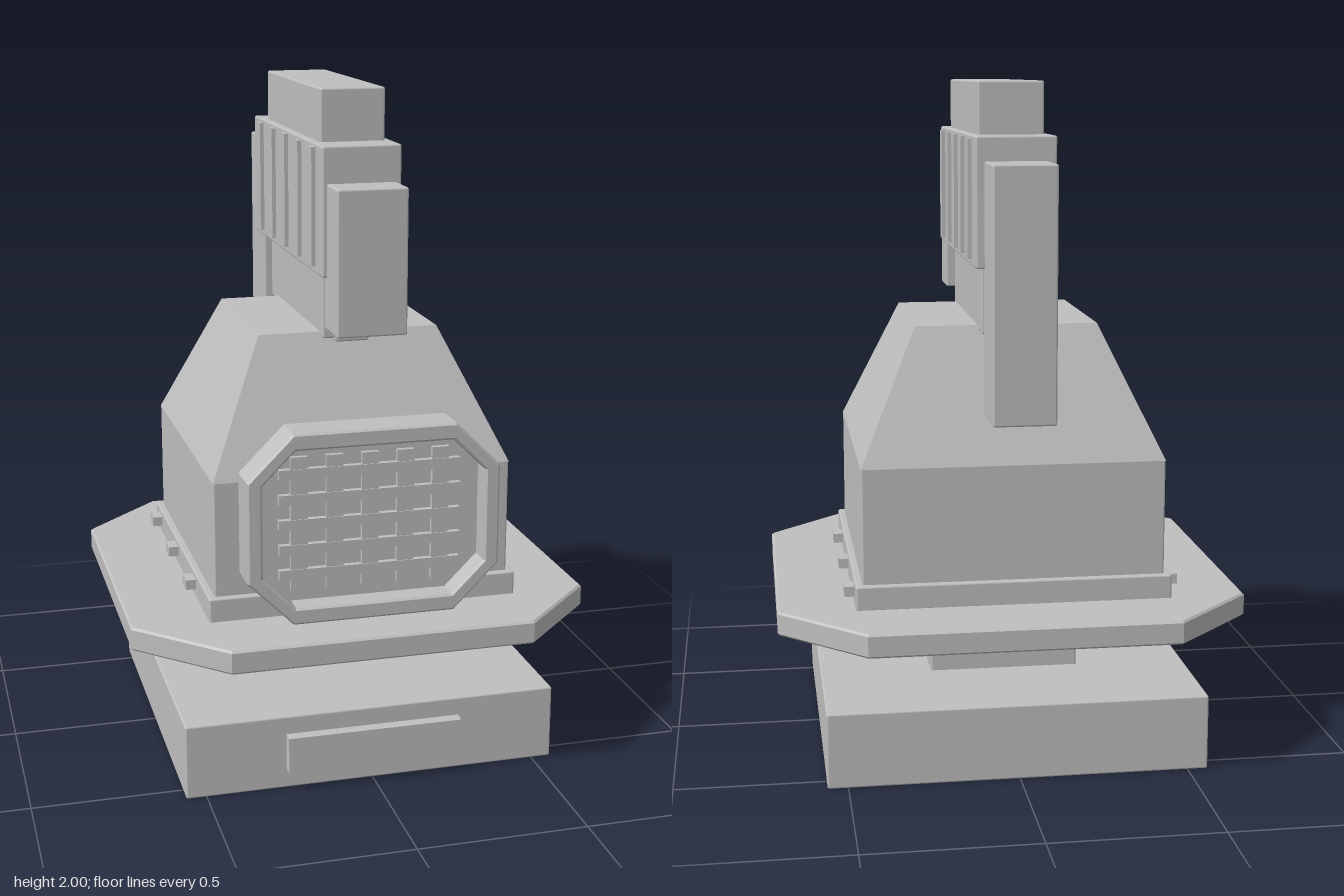
import * as THREE from 'three';
import { RoundedBoxGeometry } from 'three/addons/geometries/RoundedBoxGeometry.js';

const EDGE = 0.006;

// Corner points of a rectangle with clipped corners
function octagon(w, h, cut) {
  return [
    [-w, -h + cut], [-w + cut, -h], [w - cut, -h], [w, -h + cut],
    [w, h - cut], [w - cut, h], [-w + cut, h], [-w, h - cut],
  ].map(([x, y]) => new THREE.Vector2(x, y));
}

// Octagonal slab along z from 0 to depth, with a small chamfer
function slab(w, h, cut, depth, hole) {
  const shape = new THREE.Shape(octagon(w - EDGE, h - EDGE, cut));
  if (hole) shape.holes.push(new THREE.Path(octagon(...hole).reverse()));
  const geometry = new THREE.ExtrudeGeometry(shape, {
    depth: depth - 2 * EDGE, bevelEnabled: true, bevelSize: EDGE, bevelThickness: EDGE, bevelSegments: 1,
  });
  return geometry.translate(0, 0, EDGE);
}

export function createModel() {
  const model = new THREE.Group();
  const grey = new THREE.MeshStandardMaterial({ color: 0xbfbfbf });
  grey.name = 'plain grey';

  const add = (name, geometry, x = 0, y = 0, z = 0) => {
    const mesh = new THREE.Mesh(geometry, grey);
    mesh.name = name;
    mesh.position.set(x, y, z);
    model.add(mesh);
    return mesh;
  };
  // Softened block between two limits on each axis
  const block = (name, x0, x1, y0, y1, z0, z1) => add(
    name, new RoundedBoxGeometry(x1 - x0, y1 - y0, z1 - z0, 2, EDGE),
    (x0 + x1) / 2, (y0 + y1) / 2, (z0 + z1) / 2);
  // Sharp-edged block by centre and size
  const bar = (name, x, y, z, w, h, d) => add(name, new THREE.BoxGeometry(w, h, d), x, y, z);

  // Pedestal
  block('base', -0.56, 0.56, 0, 0.225, -0.56, 0.56);
  bar('basePlaque', 0, 0.115, 0.575, 0.525, 0.11, 0.04);
  block('column', -0.225, 0.225, 0.21, 0.44, -0.225, 0.225);
  add('platform', slab(0.69, 0.69, 0.24, 0.07).rotateX(-Math.PI / 2), 0, 0.43, 0);

  // Housing with collar and tapered roof
  block('collar', -0.465, 0.465, 0.495, 0.57, -0.465, 0.465);
  block('housing', -0.445, 0.445, 0.56, 0.915, -0.445, 0.445);
  const taper = new THREE.CylinderGeometry(0.27 * Math.SQRT2, 0.445 * Math.SQRT2, 0.385, 4)
    .rotateY(Math.PI / 4).toNonIndexed();
  taper.computeVertexNormals();
  add('taperedRoof', taper, 0, 1.1025, 0);

  // Studs along both sides of the collar
  for (const side of [-1, 1]) {
    for (const z of [-0.375, -0.075, 0.225]) bar('stud', side * 0.475, 0.54, z, 0.04, 0.03, 0.06);
  }

  // Framed grille on the front
  add('grilleBacking', slab(0.352, 0.262, 0.12, 0.06), 0, 0.793, 0.44);
  add('grilleFrame', slab(0.373, 0.283, 0.13, 0.12, [0.335, 0.24, 0.1]), 0, 0.793, 0.45);
  for (let i = -2; i <= 2; i++) {
    bar('verticalSlat', i * 0.105, 0.793, 0.505, 0.05, 0.4, 0.02);
    bar('horizontalSlat', 0, 0.793 + i * 0.075, 0.508, 0.54, 0.03, 0.02);
  }

  // Upright head on a narrow neck
  block('neck', -0.085, 0.085, 1.28, 1.49, -0.36, 0.3);
  block('neckSpine', -0.05, 0.05, 1.27, 1.49, -0.37, 0.31);
  block('head', -0.115, 0.115, 1.48, 1.85, -0.46, 0.41);
  block('headCap', -0.095, 0.095, 1.84, 2, -0.355, 0.31);
  block('frontBlock', -0.102, 0.102, 1.33, 1.745, 0.385, 0.525);
  block('rearBlock', -0.09, 0.09, 1.06, 1.78, -0.63, -0.44);

  // Raised ribs on both faces of the head
  for (const side of [-1, 1]) {
    for (let i = 0; i < 5; i++) bar('headRib', side * 0.115, 1.67, -0.35 + i * 0.165, 0.024, 0.34, 0.045);
  }
  return model;
}
